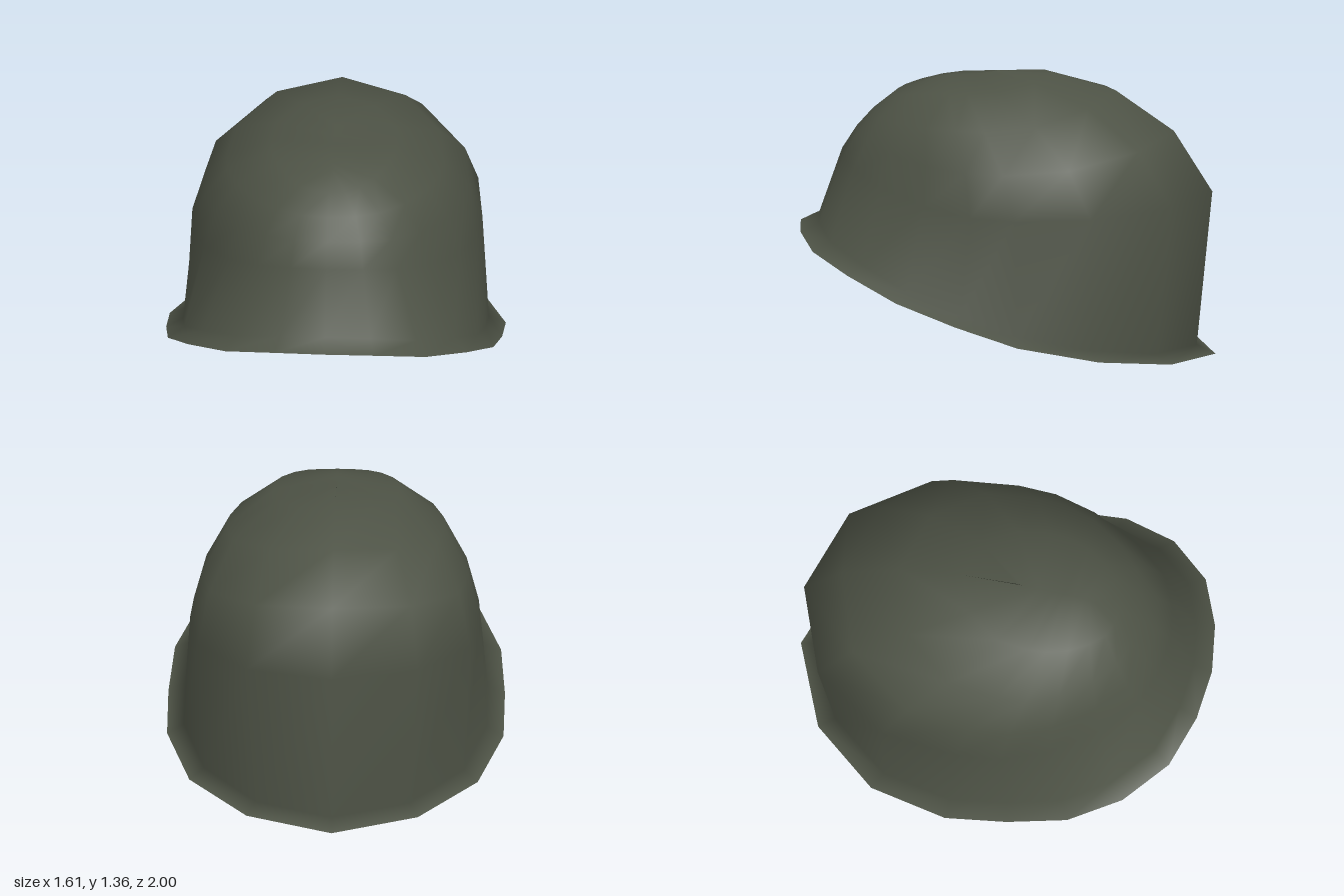
import * as THREE from 'three';
import { mergeVertices } from 'three/addons/utils/BufferGeometryUtils.js';

// Half outline of the flared rim, front to back: [x, y, z]
const RIM = [
  [0, 0.605, 1], [0.24, 0.59, 0.97], [0.48, 0.54, 0.88], [0.67, 0.465, 0.69], [0.78, 0.355, 0.44],
  [0.805, 0.25, 0.15], [0.805, 0.155, -0.15], [0.69, 0.075, -0.53], [0.41, 0.02, -0.84], [0, 0, -1],
];

// Half plan of the crown at unit size, front to back: [x, z]
const PLAN = [
  [0, 1], [0.25, 0.97], [0.48, 0.89], [0.69, 0.72], [0.88, 0.47],
  [0.98, 0.21], [1, -0.03], [0.94, -0.44], [0.59, -0.84], [0, -1],
];

// Crown rings: half width, side height, front [z, y], back [z, y]
const CROWN = [
  [0.695, 0.75, [0.80, 0.96], [-0.985, 0.79]],
  [0.635, 0.96, [0.73, 1.07], [-0.80, 1.08]],
  [0.52, 1.15, [0.65, 1.16], [-0.52, 1.27]],
  [0.30, 1.295, [0.55, 1.24], [-0.21, 1.345]],
  [0, 1.33, [0.43, 1.285], [0.05, 1.355]], // closes on a short ridge
];

// Complete a half ring by mirroring it across x
const mirrorRing = (half) => [
  ...half,
  ...half.slice(1, -1).reverse().map(([x, y, z]) => [-x, y, z]),
];

function crownRing([width, side, front, back]) {
  const mid = (front[0] + back[0]) / 2;
  const len = (front[0] - back[0]) / 2;
  return PLAN.map(([u, v]) => {
    const end = v > 0 ? front[1] : back[1];
    return [u * width, side + (end - side) * v * v, mid + v * len];
  });
}

// Skin a stack of rings, bottom to top
function loft(rings) {
  const n = rings[0].length;
  const index = [];
  for (let r = 0; r < rings.length - 1; r++) {
    for (let i = 0; i < n; i++) {
      const a = r * n + i, b = r * n + (i + 1) % n;
      index.push(a, b, b + n, a, b + n, a + n);
    }
  }
  const geometry = new THREE.BufferGeometry();
  geometry.setAttribute('position', new THREE.Float32BufferAttribute(rings.flat(2), 3));
  geometry.setIndex(index);
  const merged = mergeVertices(geometry, 1e-4);
  merged.computeVertexNormals();
  return merged;
}

export function createModel() {
  const olive = new THREE.MeshStandardMaterial({ color: 0x4d5245, side: THREE.DoubleSide });
  olive.name = 'olive drab';

  // Flared brim, tucked in at the neck, then the domed crown
  const neck = RIM.map(([x, y, z]) => [x * 0.9, y + 0.043, z * 0.91]);
  const rings = [RIM, neck, ...CROWN.map(crownRing)].map(mirrorRing);

  const shell = new THREE.Mesh(loft(rings), olive);
  shell.name = 'helmetShell';

  const group = new THREE.Group();
  group.name = 'helmet';
  group.add(shell);
  return group;
}
